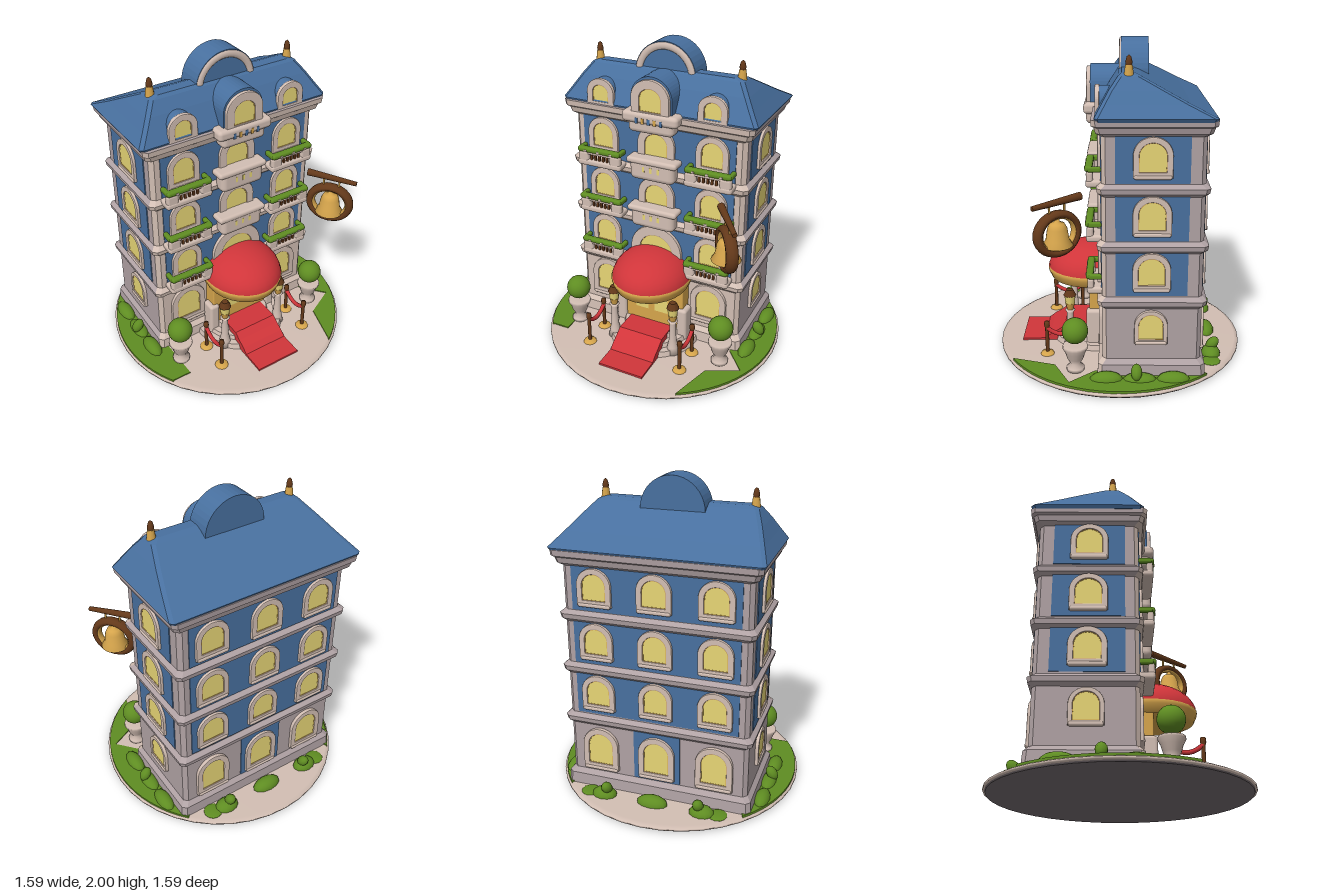
import * as THREE from 'three';
import { RoundedBoxGeometry } from 'three/addons/geometries/RoundedBoxGeometry.js';

const mat = (name, color) => Object.assign(new THREE.MeshStandardMaterial({ color }), { name });

// Lofts chamfered rectangles [y, halfX, zBack, zFront] into a solid; group 1 is the front, group 0 the rest
function loft(rings, chamfer) {
  const loops = rings.map(([y, x, zb, zf]) => {
    const c = Math.min(chamfer, x * 0.9, (zf - zb) * 0.45);
    return [[x, zb + c], [x, zf - c], [x - c, zf], [c - x, zf], [-x, zf - c], [-x, zb + c], [c - x, zb], [x - c, zb]]
      .map(([px, pz]) => [px, y, pz]);
  });
  const pos = [];
  const tri = (...pts) => pts.forEach((p) => pos.push(...p));
  for (let i = 0; i < 8; i++) {
    for (let r = 0; r < loops.length - 1; r++) {
      const j = (i + 1) % 8, lo = loops[r], hi = loops[r + 1];
      tri(lo[i], hi[i], lo[j]);
      tri(lo[j], hi[i], hi[j]);
    }
  }
  const bottom = loops[0], top = loops[loops.length - 1];
  for (let i = 1; i < 7; i++) {
    tri(top[0], top[i + 1], top[i]);
    tri(bottom[0], bottom[i], bottom[i + 1]);
  }
  const g = new THREE.BufferGeometry();
  g.setAttribute('position', new THREE.Float32BufferAttribute(pos, 3));
  g.computeVertexNormals();
  const strip = (loops.length - 1) * 6;
  g.addGroup(0, strip, 0);
  g.addGroup(strip, strip * 3, 1);
  g.addGroup(strip * 4, pos.length / 3 - strip * 4, 0);
  return g;
}

// Round-topped outline standing on (0, y)
function archShape(w, h, y = 0, PathType = THREE.Shape) {
  const r = w / 2, rise = Math.min(r, h * 0.45);
  const s = new PathType();
  s.moveTo(-r, y);
  s.lineTo(r, y);
  s.lineTo(r, y + h - rise);
  s.absellipse(0, y + h - rise, r, rise, 0, Math.PI, false, 0);
  s.lineTo(-r, y);
  return s;
}

const extrude = (shape, depth, bevel = 0) => new THREE.ExtrudeGeometry(shape, {
  depth, curveSegments: 10, bevelEnabled: bevel > 0, bevelThickness: bevel, bevelSize: bevel, bevelSegments: 2,
});
const lathe = (pts, n = 24) => new THREE.LatheGeometry(pts.map(([x, y]) => new THREE.Vector2(x, y)), n);

export function createModel() {
  const root = new THREE.Group();
  root.name = 'hotel';
  const blue = mat('blue', 0x48709f), stone = mat('stone', 0xd2beb3), greyStone = mat('grey stone', 0xb0a2a4);
  const red = mat('red', 0xd0353a), glass = mat('lit glass', 0xfbe880), gold = mat('gold', 0xd6a54c);
  const green = mat('green', 0x5f8d22), brown = mat('brown', 0x64391a), dark = mat('dark grey', 0x736a6e);

  const add = (name, geo, material, x = 0, y = 0, z = 0, parent = root) => {
    const m = new THREE.Mesh(geo, material);
    m.name = name;
    m.position.set(x, y, z);
    parent.add(m);
    return m;
  };
  const box = (name, w, h, d, m, x, y, z, parent) => add(name, new THREE.BoxGeometry(w, h, d), m, x, y, z, parent);
  const rbox = (name, w, h, d, m, x, y, z, r = 0.02, parent = root) =>
    add(name, new RoundedBoxGeometry(w, h, d, 2, r), m, x, y, z, parent);

  // Arched window: moulded frame, gilt lining, lit pane and sill; faces +z before turning
  const addWindow = (x, y, z, w, h, turn = 0, rim = 0.028) => {
    const g = new THREE.Group();
    g.name = 'window';
    const outer = archShape(w + 2 * rim, h + 2 * rim, -rim);
    outer.holes.push(archShape(w, h, 0, THREE.Path));
    add('windowFrame', extrude(outer, 0.016, 0.005), stone, 0, 0, 0, g);
    const lining = archShape(w, h);
    lining.holes.push(archShape(w - 0.016, h - 0.016, 0.008, THREE.Path));
    add('windowLining', extrude(lining, 0.004), gold, 0, 0, 0.011, g);
    add('windowPane', new THREE.ShapeGeometry(archShape(w, h), 10), glass, 0, 0, 0.013, g);
    rbox('windowSill', w + 2 * rim, 0.025, 0.03, stone, 0, -rim, 0.012, 0.01, g);
    g.position.set(x, y, z);
    g.rotation.y = turn;
    root.add(g);
  };

  // Round plaza with dark underside and lawns
  add('plaza', lathe([[0.77, 0.002], [0.795, 0.012], [0.795, 0.024], [0.77, 0.036], [0, 0.044]], 40), stone);
  add('plazaUnderside', new THREE.CylinderGeometry(0.785, 0.78, 0.008, 40), dark, 0, 0.004, 0);
  const lawn = (name, from, to, inner) => {
    const s = new THREE.Shape();
    s.absarc(0, 0, 0.782, from, to, false);
    inner.forEach(([x, z]) => s.lineTo(x, -z));
    s.closePath();
    add(name, extrude(s, 0.018).rotateX(-Math.PI / 2), green, 0, 0.026, 0);
  };
  lawn('rightLawn', -1.03, 0.74, [[0.55, -0.5], [0.55, 0.15], [0.68, 0.3], [0.48, 0.4]]);
  lawn('leftLawn', Math.PI - 0.76, Math.PI + 0.55, [[-0.54, 0.41], [-0.55, 0.1], [-0.55, -0.5]]);

  // Shrubs beside and behind the building
  const shrub = (x, z, sx, sy, sz) =>
    add('shrub', new THREE.SphereGeometry(1, 12, 6, 0, Math.PI * 2, 0, Math.PI / 2), green, x, 0.038, z).scale.set(sx, sy, sz);
  const leaf = (x, z, rx, rz) => {
    const m = add('leaf', new THREE.SphereGeometry(1, 10, 8), green, x, 0.095, z);
    m.scale.set(0.035, 0.05, 0.035);
    m.rotation.set(rx, 0, rz);
  };
  for (const s of [-1, 1]) {
    for (const [z, h] of [[0.08, 0.05], [-0.12, 0.04], [-0.32, 0.05]]) shrub(s * 0.64, z, 0.05, h, 0.1);
    leaf(s * 0.655, -0.1, 0, s * 0.6);
    leaf(s * 0.3, -0.59, -0.7, 0);
    shrub(s * 0.32, -0.58, 0.08, 0.05, 0.06);
    shrub(s * 0.42, -0.57, 0.06, 0.012, 0.06);
  }
  shrub(0, -0.58, 0.1, 0.055, 0.055);

  // Walls with swelling cornices between storeys
  const ring = (y, o) => [y, 0.575 + o, -0.485 - o, 0.105 + o];
  const rings = [ring(0.035, 0.03), ring(0.11, 0.025), ring(0.14, 0)];
  for (const y of [0.51, 0.855, 1.195]) {
    rings.push(ring(y - 0.04, 0), ring(y - 0.018, 0.022), ring(y + 0.012, 0.027), ring(y + 0.035, 0));
  }
  rings.push(ring(1.5, 0), ring(1.52, 0.028), ring(1.555, 0.038), ring(1.565, 0.052), ring(1.6, 0.055));
  add('walls', loft(rings, 0.025), [greyStone, stone]);

  // Blue wall panels and windows of the upper storeys
  const sideTurn = Math.PI / 2;
  for (const base of [0.62, 0.96, 1.3]) {
    const py = base + 0.07;
    box('frontPanel', 1.03, 0.27, 0.008, blue, 0, py, 0.107);
    box('backPanel', 1.03, 0.27, 0.008, blue, 0, py, -0.487);
    for (const s of [-1, 1]) {
      box('sidePanel', 0.008, 0.27, 0.42, blue, s * 0.577, py, -0.185);
      addWindow(s * 0.577, base, -0.185, 0.165, 0.175, s * sideTurn, 0.024);
      addWindow(s * 0.37, base + 0.01, 0.107, 0.145, 0.165);
    }
    for (const x of [-0.37, 0, 0.37]) addWindow(x, base, -0.487, 0.155, 0.17, Math.PI, 0.025);
    if (base > 0.7) addWindow(0, base, 0.107, 0.16, 0.165, 0, 0.04);
  }

  // Ground floor windows
  box('backDoorPanel', 0.3, 0.33, 0.008, blue, 0, 0.31, -0.487);
  for (const x of [-0.37, 0, 0.37]) addWindow(x, 0.2, -0.487, 0.17, 0.22, Math.PI);
  for (const s of [-1, 1]) {
    addWindow(s * 0.37, 0.23, 0.105, 0.175, 0.215, 0, 0.032);
    addWindow(s * 0.575, 0.27, -0.185, 0.155, 0.17, s * sideTurn, 0.016);
  }
  addWindow(0, 0.5, 0.115, 0.24, 0.27, 0, 0.055);

  // Balconies: planted ones at the sides, solid stone ones in the middle
  for (const y of [0.56, 0.885, 1.215]) {
    for (const s of [-1, 1]) {
      const x = s * 0.37;
      rbox('balconyFloor', 0.31, 0.045, 0.1, stone, x, y, 0.145, 0.018);
      rbox('planterFoliage', 0.3, 0.034, 0.045, green, x, y + 0.087, 0.178, 0.015);
      rbox('balconyRail', 0.29, 0.018, 0.03, stone, x, y + 0.064, 0.175, 0.008);
      for (const e of [-1, 1]) {
        rbox('balconyPost', 0.075, 0.075, 0.04, stone, x + e * 0.112, y + 0.035, 0.172, 0.015);
        rbox('sidePlanter', 0.03, 0.034, 0.08, green, x + e * 0.138, y + 0.085, 0.145, 0.012);
      }
      for (let i = -2; i <= 2; i++) box('baluster', 0.014, 0.042, 0.012, brown, x + i * 0.028, y + 0.037, 0.178);
      for (let i = -1; i <= 1; i++) box('blossom', 0.018, 0.014, 0.006, stone, x + i * 0.09, y + 0.083, 0.2);
    }
  }
  for (const y of [0.91, 1.24]) {
    rbox('middleBalcony', 0.3, 0.14, 0.095, stone, 0, y, 0.15, 0.035);
    rbox('middleBalconyRail', 0.34, 0.04, 0.105, stone, 0, y + 0.058, 0.15, 0.018);
    for (let i = -1; i <= 1; i++) box('balconySlot', 0.016, 0.035, 0.006, glass, i * 0.05, y + 0.01, 0.196);
  }

  // Hipped roof
  add('roof', loft([
    [1.59, 0.63, -0.53, 0.135], [1.61, 0.642, -0.537, 0.14], [1.68, 0.595, -0.39, 0.1],
    [1.75, 0.55, -0.255, 0.06], [1.82, 0.5, -0.12, 0.01], [1.835, 0.46, -0.08, -0.01],
  ], 0.02), [blue, blue]);

  // Crowning arch with flat stone rim on its face
  const crown = new THREE.Shape().absellipse(0, 0, 0.2, 0.203, 0, Math.PI, false, 0);
  add('crownArch', extrude(crown, 0.165), blue, 0, 1.795, -0.17);
  add('crownRim', new THREE.TorusGeometry(0.176, 0.022, 8, 20, Math.PI), stone, 0, 1.795, -0.005).scale.z = 0.5;

  // Dormers
  add('middleDormerRoof', extrude(archShape(0.27, 0.29), 0.25), blue, 0, 1.545, -0.07);
  addWindow(0, 1.62, 0.182, 0.15, 0.15, 0, 0.045);
  rbox('dormerBalcony', 0.37, 0.07, 0.13, stone, 0, 1.585, 0.155, 0.025);
  rbox('dormerBalconyBase', 0.3, 0.11, 0.1, stone, 0, 1.54, 0.155, 0.03);
  for (let i = -2; i <= 2; i++) box('dormerSlot', 0.018, 0.035, 0.006, i % 2 ? gold : blue, i * 0.04, 1.57, 0.219);
  for (const s of [-1, 1]) {
    add('sideDormerRoof', extrude(archShape(0.17, 0.19), 0.17), blue, s * 0.37, 1.565, -0.04);
    addWindow(s * 0.37, 1.61, 0.12, 0.115, 0.115, 0, 0.03);
    // Roof finials
    add('finialBase', new THREE.CylinderGeometry(0.02, 0.028, 0.06, 10), gold, s * 0.47, 1.85, -0.05);
    add('finial', lathe([[0.016, 0], [0.02, 0.02], [0.012, 0.05], [0, 0.06]], 10), brown, s * 0.47, 1.875, -0.05);
  }

  // Entrance porch with double doors
  rbox('doorway', 0.45, 0.42, 0.1, gold, 0, 0.26, 0.145, 0.01);
  for (const s of [-1, 1]) {
    add('doorPane', new THREE.ShapeGeometry(archShape(0.095, 0.17), 8), glass, s * 0.07, 0.23, 0.198);
    rbox('doorPillar', 0.07, 0.26, 0.1, stone, s * 0.222, 0.17, 0.165, 0.02);
    // Lantern on a stone pedestal
    add('lanternPedestal', lathe([[0, 0], [0.045, 0], [0.035, 0.05], [0.025, 0.1], [0.02, 0.23], [0.033, 0.25], [0, 0.255]], 14),
      stone, s * 0.215, 0.04, 0.32);
    add('lanternBase', new THREE.CylinderGeometry(0.032, 0.02, 0.045, 8), gold, s * 0.215, 0.315, 0.32);
    add('lanternLight', new THREE.CylinderGeometry(0.036, 0.03, 0.055, 8), glass, s * 0.215, 0.362, 0.32);
    add('lanternCap', new THREE.CylinderGeometry(0.022, 0.042, 0.04, 8), brown, s * 0.215, 0.41, 0.32);
  }

  // Rounded steps and carpet
  [[0.3, 0.045, 0.075], [0.25, 0.075, 0.105], [0.2, 0.105, 0.138]].forEach(([r, y0, y1]) => {
    add('step', new THREE.CylinderGeometry(r, r + 0.012, y1 - y0 + 0.02, 28), stone, 0, (y0 + y1) / 2 - 0.01, 0.15);
  });
  const runner = new THREE.Shape([[0.2, 0.146], [0.36, 0.146], [0.405, 0.113], [0.455, 0.083], [0.49, 0.053], [0.64, 0.05],
    [0.64, 0.03], [0.2, 0.03]].map(([z, y]) => new THREE.Vector2(-z, y)));
  add('carpet', extrude(runner, 0.31).rotateY(Math.PI / 2), red, -0.155, 0, 0);

  // Domed awning with gold valance
  const dome = new THREE.SphereGeometry(1, 28, 10, 0, Math.PI * 2, 0, Math.PI / 2);
  add('awning', dome, red, 0, 0.505, 0.18).scale.set(0.258, 0.185, 0.29);
  const valance = lathe([[0, -0.01], [0.86, -0.06], [0.93, -0.055], [1, -0.01], [1.01, 0.01], [0.98, 0.02]], 28);
  add('awningValance', valance, gold, 0, 0.505, 0.18).scale.set(0.258, 1, 0.29);

  for (const s of [-1, 1]) {
    // Rope barrier
    for (const z of [0.27, 0.46]) {
      add('ropePostBase', lathe([[0.045, 0], [0.04, 0.012], [0.012, 0.02], [0, 0.02]], 12), gold, s * 0.33, 0.036, z);
      add('ropePost', lathe([[0.012, 0], [0.012, 0.17], [0.018, 0.19], [0.016, 0.215], [0, 0.22]], 10), brown, s * 0.33, 0.045, z);
    }
    const sag = new THREE.QuadraticBezierCurve3(new THREE.Vector3(s * 0.33, 0.22, 0.27),
      new THREE.Vector3(s * 0.33, 0.13, 0.365), new THREE.Vector3(s * 0.33, 0.22, 0.46));
    add('rope', new THREE.TubeGeometry(sag, 14, 0.014, 8), red);
    // Topiary in a stone urn
    add('urn', lathe([[0, 0], [0.055, 0], [0.055, 0.02], [0.03, 0.045], [0.05, 0.08], [0.062, 0.12], [0.078, 0.15],
      [0.075, 0.165], [0, 0.16]], 18), stone, s * 0.525, 0.04, 0.27);
    add('topiary', new THREE.IcosahedronGeometry(0.08, 3), green, s * 0.525, 0.3, 0.27);
  }

  // Hanging bell sign, turned outward on its bracket
  const sign = new THREE.Group();
  sign.name = 'bellSign';
  sign.position.set(0.572, 0, 0.355);
  sign.rotation.y = -0.94;
  root.add(sign);
  add('signArm', new THREE.CylinderGeometry(0.024, 0.015, 0.32, 10), brown, 0, 1.125, 0, sign).rotation.z = Math.PI / 2 - 0.06;
  for (const x of [-0.05, 0.05]) box('signHanger', 0.01, 0.06, 0.01, gold, x, 1.09, 0, sign);
  add('signRing', new THREE.TorusGeometry(0.119, 0.025, 10, 28), brown, 0, 0.938, 0, sign).scale.set(1.08, 0.97, 1.5);
  add('signRingLining', new THREE.TorusGeometry(0.102, 0.01, 8, 28), gold, 0, 0.938, 0, sign).scale.set(1.08, 0.97, 2.6);
  add('bell', lathe([[0, 0.01], [0.078, 0], [0.09, 0.008], [0.068, 0.045], [0.058, 0.11], [0.042, 0.14], [0.016, 0.15],
    [0.012, 0.185], [0, 0.185]], 20), gold, 0, 0.86, 0, sign);
  add('bellClapper', new THREE.SphereGeometry(0.018, 10, 8), gold, 0, 0.855, 0, sign);

  return root;
}
